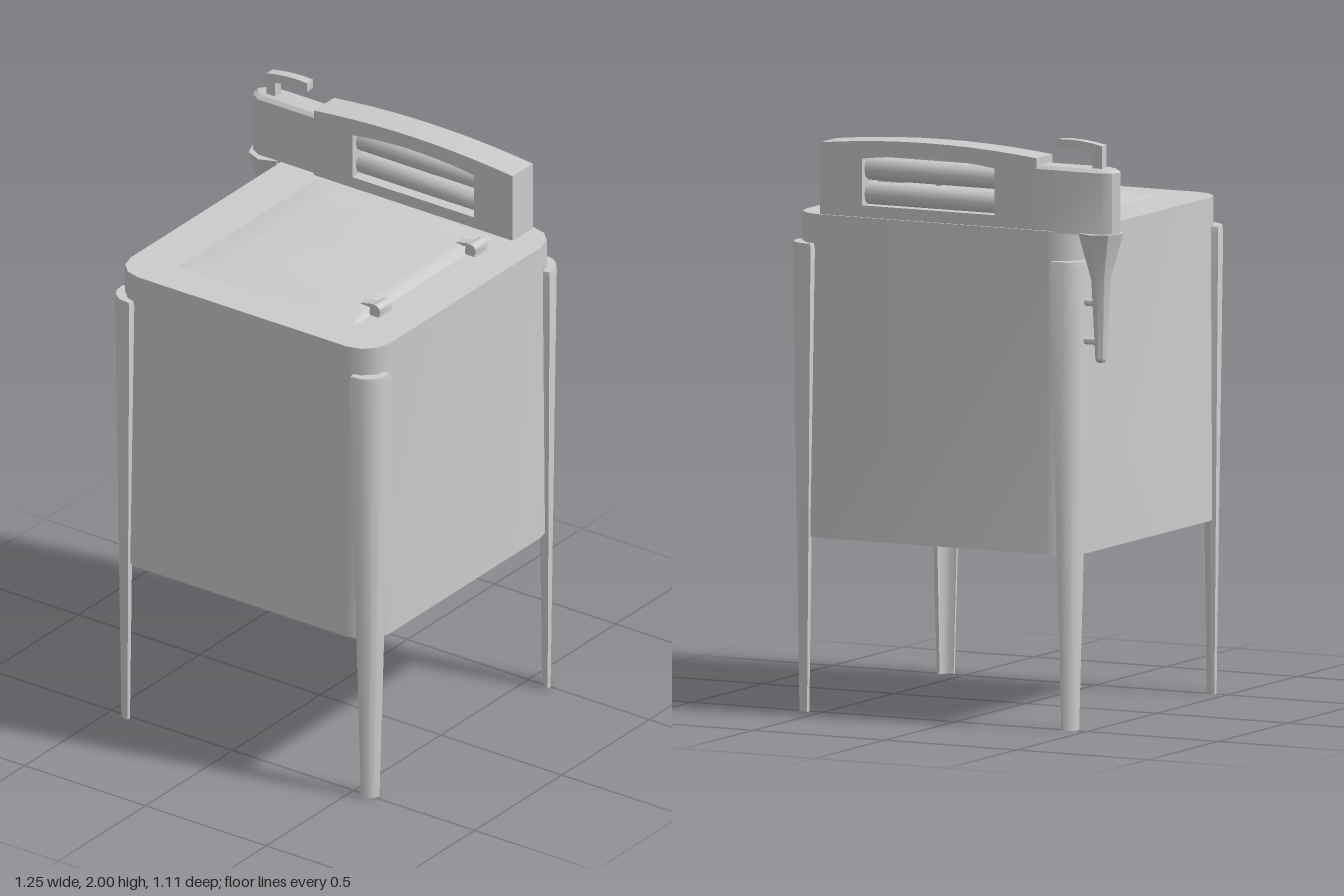
import * as THREE from 'three';
import { toCreasedNormals } from 'three/addons/utils/BufferGeometryUtils.js';

const material = new THREE.MeshStandardMaterial({ color: 0xcccccc });

function part(parent, name, geometry, x = 0, y = 0, z = 0) {
  const mesh = new THREE.Mesh(geometry, material);
  mesh.name = name;
  mesh.position.set(x, y, z);
  parent.add(mesh);
  return mesh;
}

// Solid through horizontal rings [y, [[x, z], ...]], listed bottom to top,
// each ring anticlockwise seen from above.
function loft(rings, crease = 0.6) {
  const n = rings[0][1].length;
  const last = (rings.length - 1) * n;
  const positions = rings.flatMap(([y, pts]) => pts.flatMap(([x, z]) => [x, y, z]));
  const index = [];
  for (let r = 0; r < rings.length - 1; r++) {
    for (let i = 0; i < n; i++) {
      const a = r * n + i, b = r * n + (i + 1) % n;
      index.push(a, b, b + n, a, b + n, a + n);
    }
  }
  for (let i = 1; i < n - 1; i++) {
    index.push(0, i + 1, i, last, last + i, last + i + 1);
  }
  const g = new THREE.BufferGeometry();
  g.setAttribute('position', new THREE.Float32BufferAttribute(positions, 3));
  g.setIndex(index);
  return toCreasedNormals(g, crease);
}

// Rounded rectangle ring between two x and two z limits
function roundedRing(x0, x1, z0, z1, radius, steps) {
  const pts = [];
  for (let c = 0; c < 4; c++) {
    const cx = c === 0 || c === 3 ? x1 - radius : x0 + radius;
    const cz = c < 2 ? z0 + radius : z1 - radius;
    for (let s = 0; s <= steps; s++) {
      const a = (c + s / steps) * Math.PI / 2;
      pts.push([cx + radius * Math.cos(a), cz - radius * Math.sin(a)]);
    }
  }
  return pts;
}

function octagon(radius) {
  return Array.from({ length: 8 }, (_, i) => {
    const a = i * Math.PI / 4;
    return [radius * Math.cos(a), -radius * Math.sin(a)];
  });
}

export function createModel() {
  const model = new THREE.Group();
  model.name = 'wringerWasher';

  // Tub and shallow lid
  const tub = roundedRing(-0.47, 0.602, -0.537, 0.537, 0.105, 3);
  part(model, 'tub', loft([[0.595, tub], [1.69, tub]]));
  part(model, 'lid', loft([
    [1.685, roundedRing(-0.3, 0.43, -0.4, 0.4, 0.01, 1)],
    [1.69, roundedRing(-0.3, 0.43, -0.4, 0.4, 0.01, 1)],
    [1.709, roundedRing(-0.2, 0.4, -0.31, 0.31, 0.02, 1)],
    [1.711, roundedRing(-0.17, 0.38, -0.28, 0.28, 0.02, 1)],
  ]));

  // Lid hinges
  for (const z of [-0.277, 0.27]) {
    const hinge = new THREE.Group();
    hinge.name = 'hinge';
    hinge.position.z = z;
    const barrel = new THREE.CylinderGeometry(0.022, 0.022, 0.07, 10).rotateX(Math.PI / 2);
    part(hinge, 'hingeBarrel', toCreasedNormals(barrel, 0.8), 0.447, 1.711, 0);
    part(hinge, 'hingeFoot', new THREE.BoxGeometry(0.04, 0.025, 0.07), 0.445, 1.698, 0);
    part(hinge, 'hingeArm', new THREE.BoxGeometry(0.07, 0.012, 0.035), 0.412, 1.715, 0).rotation.z = 0.2;
    model.add(hinge);
  }

  // Tapered channel legs that wrap the tub corners
  const legSection = [
    [0, 0.037], [0.036, 0.03], [0.073, 0.001], [0.057, -0.022],
    [0.025, -0.002], [-0.025, -0.002], [-0.057, -0.022], [-0.073, 0.001], [-0.036, 0.03],
  ];
  const scaled = (s) => legSection.map(([u, v]) => [u * s, v * s]);
  const legGeometry = loft([[0, scaled(0.43)], [1.57, scaled(1)], [1.59, scaled(0.92)]]);
  for (const sx of [-1, 1]) {
    for (const sz of [-1, 1]) {
      const leg = part(model, sz > 0 ? 'frontLeg' : 'backLeg', legGeometry, 0.066 + sx * 0.505, 0, sz * 0.503);
      leg.rotation.y = Math.atan2(sx, sz);
    }
  }

  // Wringer frame: arched panel with a window
  const wringer = new THREE.Group();
  wringer.name = 'wringer';
  model.add(wringer);
  const frame = new THREE.Shape();
  frame.moveTo(-0.325, 1.685);
  frame.lineTo(0.497, 1.685);
  frame.lineTo(0.497, 1.933);
  frame.quadraticCurveTo(0.086, 1.98, -0.325, 1.933);
  frame.closePath();
  const windowHole = new THREE.Path();
  windowHole.moveTo(-0.165, 1.73);
  windowHole.lineTo(-0.165, 1.888);
  windowHole.quadraticCurveTo(0.087, 1.925, 0.338, 1.888);
  windowHole.lineTo(0.338, 1.73);
  windowHole.closePath();
  frame.holes.push(windowHole);
  const frameGeometry = new THREE.ExtrudeGeometry(frame, { depth: 0.115, bevelEnabled: false, curveSegments: 10 });
  part(wringer, 'wringerFrame', toCreasedNormals(frameGeometry, 0.5), 0, 0, -0.53);

  // Pair of rollers
  for (const y of [1.766, 1.85]) {
    const roller = new THREE.CylinderGeometry(0.04, 0.04, 0.52, 10).rotateZ(Math.PI / 2);
    part(wringer, 'roller', toCreasedNormals(roller, 0.8), 0.087, y, -0.473);
  }

  // Gear head with a rounded outer end
  const headRing = (inset) => [
    [-0.31, -0.427 - inset], [-0.31, -0.528 + inset], [-0.565 + inset, -0.528 + inset],
    [-0.6 + inset, -0.508 + inset], [-0.614 + inset, -0.478], [-0.6 + inset, -0.447 - inset],
    [-0.565 + inset, -0.427 - inset],
  ];
  part(wringer, 'gearHead', loft([[1.685, headRing(0)], [1.897, headRing(0)], [1.908, headRing(0.012)]]));

  // Crank lever on the head
  const lever = new THREE.Shape();
  lever.moveTo(-0.555, 1.9);
  lever.lineTo(-0.52, 1.9);
  lever.lineTo(-0.52, 1.96);
  lever.quadraticCurveTo(-0.45, 1.972, -0.387, 1.965);
  lever.lineTo(-0.387, 1.998);
  lever.quadraticCurveTo(-0.47, 2.004, -0.555, 1.985);
  lever.closePath();
  const leverGeometry = new THREE.ExtrudeGeometry(lever, { depth: 0.034, bevelEnabled: false, curveSegments: 4 });
  part(wringer, 'lever', toCreasedNormals(leverGeometry, 0.5), 0, 0, -0.495);

  // Tapered support post below the head, bolted to the rear leg
  const post = loft([
    [1.25, octagon(0.014)], [1.262, octagon(0.02)], [1.53, octagon(0.034)], [1.69, octagon(0.08)],
  ], 0.3);
  part(wringer, 'supportPost', post, -0.543, 0, -0.478);
  for (const y of [1.45, 1.32]) {
    const bolt = new THREE.CylinderGeometry(0.012, 0.012, 0.09, 8).rotateZ(Math.PI / 2);
    part(wringer, 'bolt', toCreasedNormals(bolt, 0.9), -0.49, y, -0.478);
  }

  return model;
}
